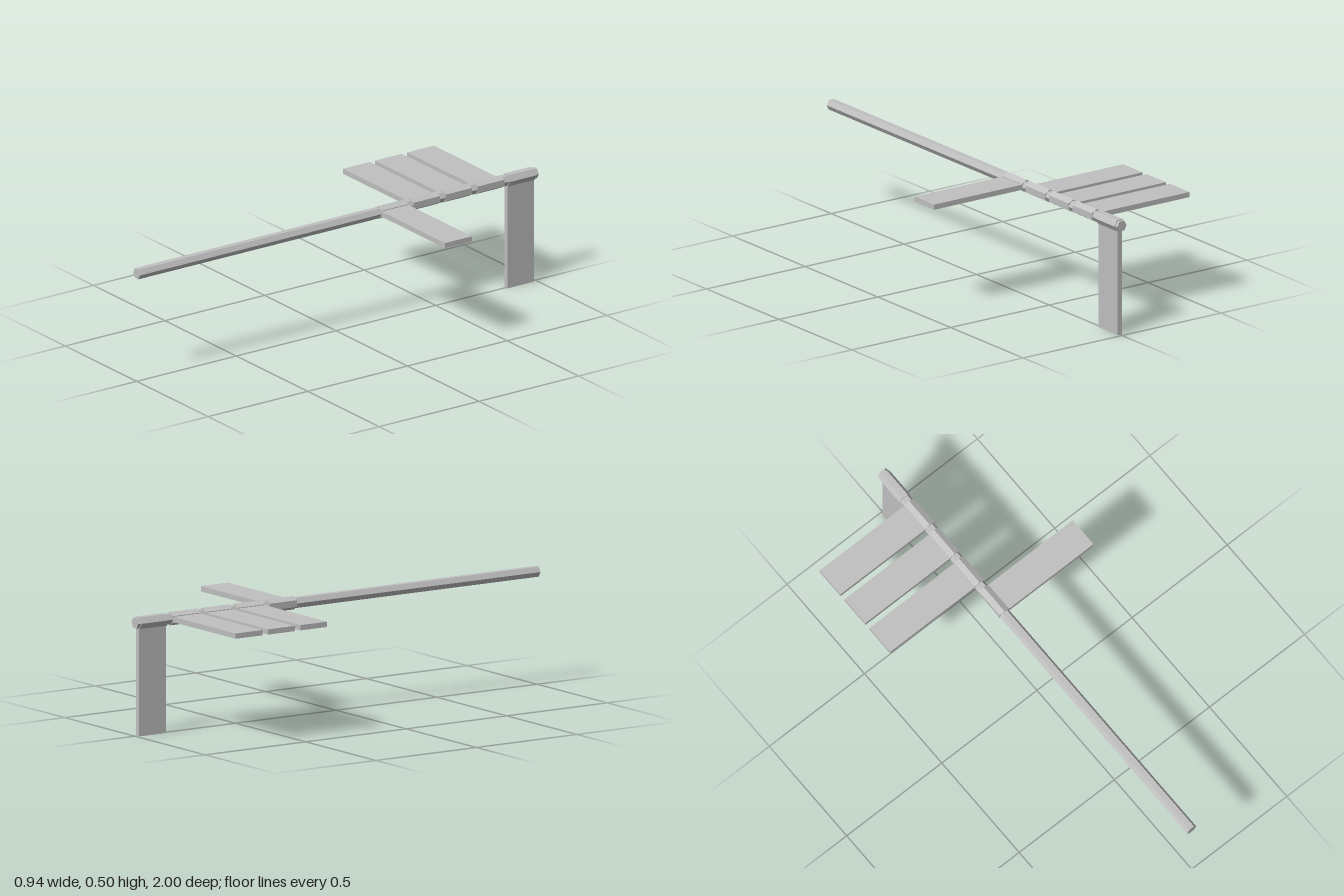
import * as THREE from 'three';

const AXIS_Y = 0.47;      // height of the rod axis
const PADDLE_WIDTH = 0.134;
const PADDLE_LENGTH = 0.469;
const PADDLE_THICKNESS = 0.022;

export function createModel() {
  const model = new THREE.Group();
  model.name = 'paddleRod';

  const grey = new THREE.MeshStandardMaterial({ color: 0xc0c0c0, flatShading: true });
  grey.name = 'light grey';

  // Six-sided bar along z, corners pointing up and down
  const hexBar = (radius, length) =>
    new THREE.CylinderGeometry(radius, radius, length, 6).rotateX(Math.PI / 2);

  // Long rod, turned so its corners point sideways
  const rod = new THREE.Mesh(hexBar(0.024, 2).rotateZ(Math.PI / 2), grey);
  rod.name = 'rod';
  rod.position.y = AXIS_Y;
  model.add(rod);

  // Each paddle is a hexagonal collar with a flat blade, swung around the rod
  const collarGeometry = hexBar(0.028, PADDLE_WIDTH);
  const bladeGeometry = new THREE.BoxGeometry(PADDLE_LENGTH, PADDLE_THICKNESS, PADDLE_WIDTH)
    .translate(PADDLE_LENGTH / 2, 0, 0);

  const paddles = [
    { z: -0.278, angle: 0 },
    { z: -0.438, angle: Math.PI },
    { z: -0.599, angle: Math.PI },
    { z: -0.76, angle: Math.PI },
    { z: -0.919, angle: -Math.PI / 2 },
  ];
  paddles.forEach(({ z, angle }, i) => {
    const paddle = new THREE.Group();
    paddle.name = `paddle${i + 1}`;
    const collar = new THREE.Mesh(collarGeometry, grey);
    collar.name = 'collar';
    const blade = new THREE.Mesh(bladeGeometry, grey);
    blade.name = 'blade';
    paddle.add(collar, blade);
    paddle.position.set(0, AXIS_Y, z);
    paddle.rotation.z = angle;
    model.add(paddle);
  });

  return model;
}
